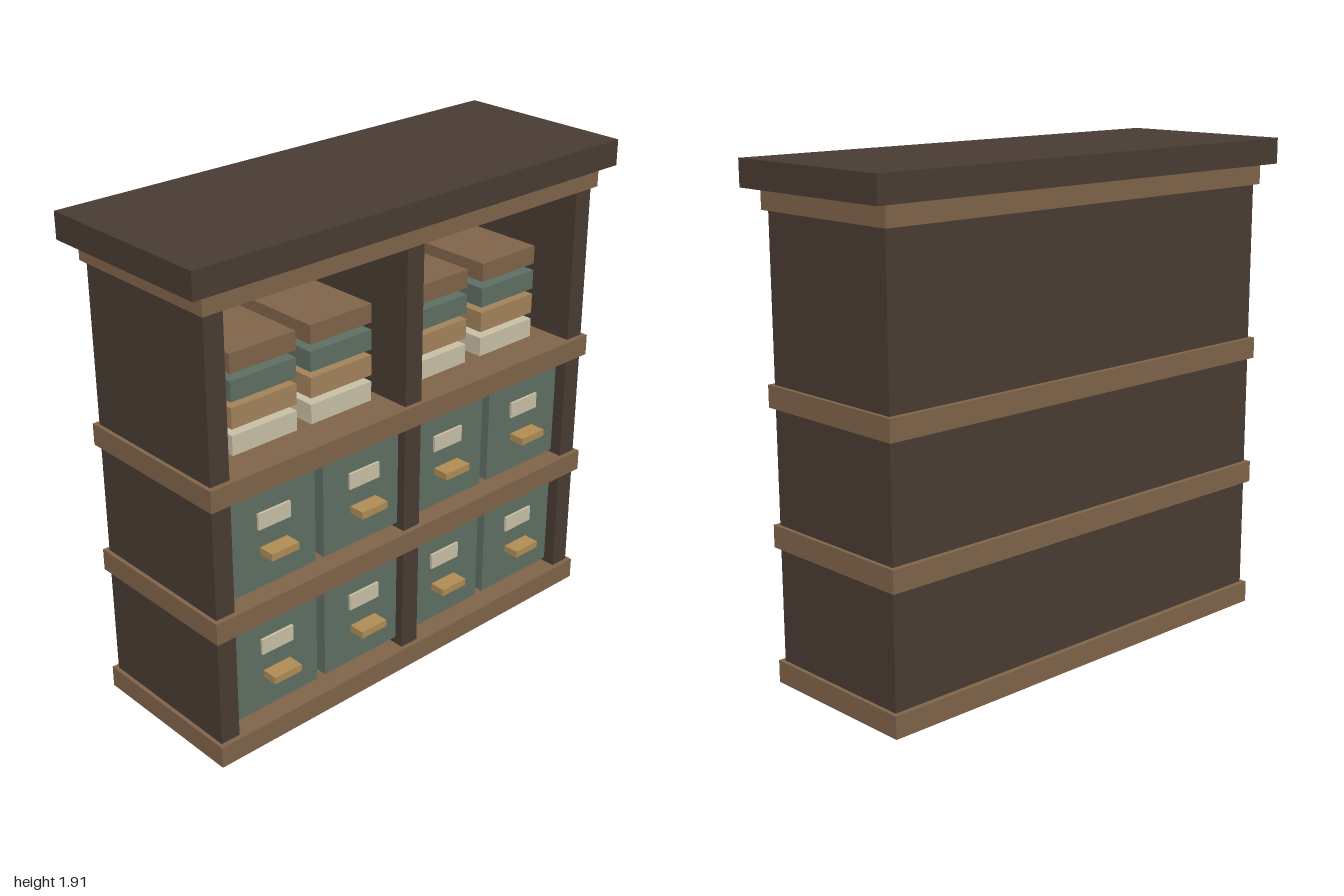
import * as THREE from 'three';

const paint = (color) => new THREE.MeshStandardMaterial({ color });

export function createModel() {
  const model = new THREE.Group();
  const dark = paint(0x4a3c33), wood = paint(0x80644a), green = paint(0x5f6f63);
  const cream = paint(0xc8bfa5), brass = paint(0xb08d55), tan = paint(0xa2835a);

  // Box given by its limits on each axis
  function block(name, material, [x0, x1], [y0, y1], [z0, z1], parent = model) {
    const mesh = new THREE.Mesh(new THREE.BoxGeometry(x1 - x0, y1 - y0, z1 - z0), material);
    mesh.position.set((x0 + x1) / 2, (y0 + y1) / 2, (z0 + z1) / 2);
    mesh.name = name;
    parent.add(mesh);
    return mesh;
  }
  const around = (c, w) => [c - w / 2, c + w / 2];

  // Carcass: uprights, back and overhanging top
  const height = [0.04, 1.78];
  block('leftSide', dark, [0.845, 0.925], height, [-0.315, 0.315]);
  block('rightSide', dark, [-0.925, -0.845], height, [-0.315, 0.315]);
  block('centreDivider', dark, [-0.04, 0.04], height, [-0.28, 0.315]);
  block('backPanel', dark, [-0.845, 0.845], height, [-0.315, -0.275]);
  block('top', dark, [-1, 1], [1.81, 1.91], [-0.37, 0.37]);

  // Shelves running past the uprights on every side
  for (const [y0, y1] of [[0, 0.085], [0.52, 0.605], [1.037, 1.12], [1.732, 1.81]]) {
    block('shelf', wood, [-0.94, 0.94], [y0, y1], [-0.335, 0.335]);
  }

  // Two rows of four drawers with label and pull
  for (const y of [0.115, 0.628]) {
    for (const x of [-0.636, -0.214, 0.214, 0.636]) {
      const drawer = new THREE.Group();
      drawer.name = 'drawer';
      model.add(drawer);
      block('drawerBox', green, around(x, 0.383), [y, y + 0.396], [-0.24, 0.28], drawer);
      block('drawerLabel', cream, around(x, 0.144), around(y + 0.266, 0.063), [0.27, 0.29], drawer);
      block('drawerPull', brass, around(x, 0.124), around(y + 0.146, 0.028), [0.27, 0.345], drawer);
    }
  }

  // Four stacks of boxes on the open shelf
  const layers = [
    [cream, 1.14, 1.215], [tan, 1.24, 1.318], [green, 1.34, 1.416], [wood, 1.443, 1.515],
  ];
  for (const x of [-0.612, -0.262, 0.222, 0.588]) {
    const stack = new THREE.Group();
    stack.name = 'boxStack';
    model.add(stack);
    for (const [material, y0, y1] of layers) {
      block('storageBox', material, around(x, 0.285), [y0, y1], [-0.2, 0.22], stack);
    }
  }
  return model;
}
